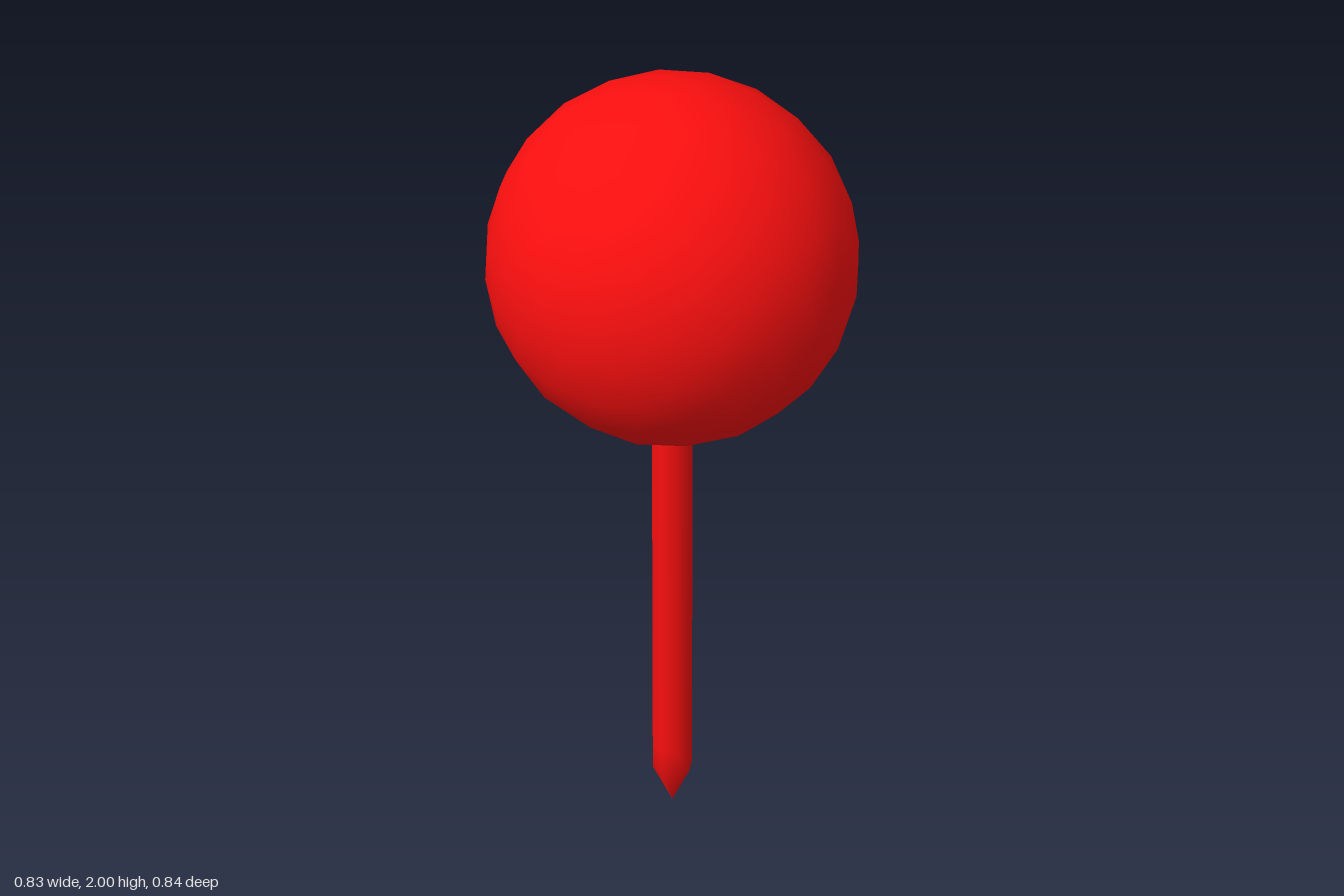
import * as THREE from 'three';

export function createModel() {
  const group = new THREE.Group();
  group.name = 'ballHeadPin';
  const red = new THREE.MeshStandardMaterial({ color: 0xfa0f0f });

  // Round head: low-poly ball with smooth shading, tilted sideways
  const head = new THREE.Mesh(new THREE.IcosahedronGeometry(0.42, 3), red);
  head.name = 'head';
  head.position.y = 1.58;
  head.rotation.z = THREE.MathUtils.degToRad(-42);
  group.add(head);

  // Pin: pointed tip, slightly tapering shaft whose top sits inside the head
  const profile = [[0, 0], [0.052, 0.12], [0.052, 0.2], [0.049, 1.17], [0.049, 1.25]];
  const pin = new THREE.Mesh(
    new THREE.LatheGeometry(profile.map(([r, y]) => new THREE.Vector2(r, y)), 8),
    red
  );
  pin.name = 'pin';
  group.add(pin);

  return group;
}
